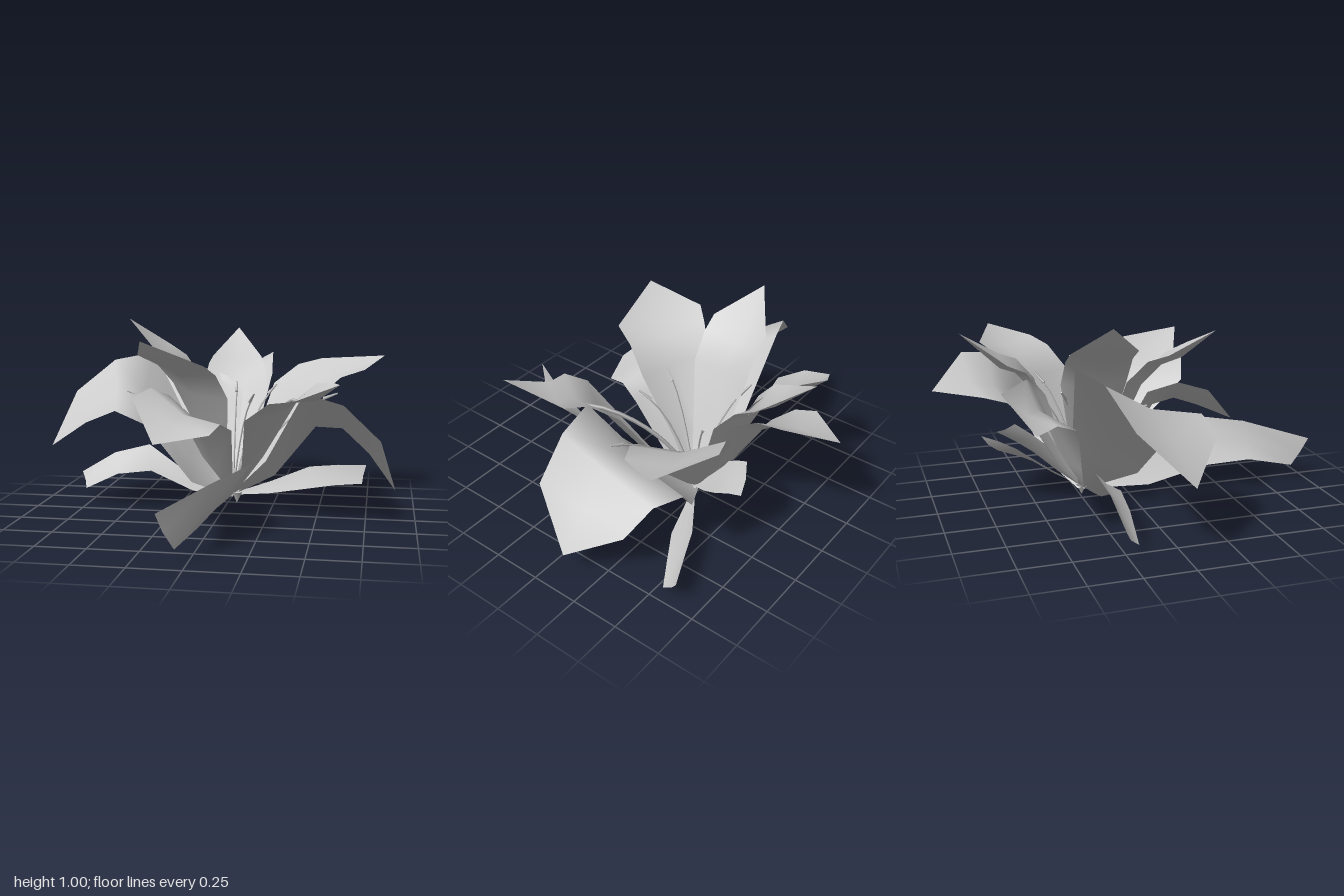
import * as THREE from 'three';

const BASE = new THREE.Vector3(0.03, 0.05, -0.24);
const material = new THREE.MeshStandardMaterial({ color: 0xcccccc, side: THREE.DoubleSide });
const V = (p) => new THREE.Vector3(...p);

// Stations along a blade.
const STATIONS = [0, 0.27, 0.55, 0.78, 1];

// A leaf surface: its spine leaves the base, bows and ends at the shoulder.
// midSpan and span run from the spine to one edge, halfway and at the shoulder;
// low is the share of midSpan reached near the base; a tip closes the end to a point.
function blade({ name, shoulder, span, midSpan = span, tip, bow = [0, 0.7, 0], low = 0.55, keel = 0.045 }) {
  const end = V(shoulder), mid = V(midSpan);
  const spine = STATIONS.map((t) => BASE.clone().lerp(end, t)
    .addScaledVector(V(bow), t * (1 - t) * Math.min(1, 2 * t) ** 2));
  const halves = [
    mid.clone().multiplyScalar(0.08), mid.clone().multiplyScalar(low), mid,
    mid.clone().lerp(V(span), 0.5), V(span),
  ];
  const pos = [], index = [];
  spine.forEach((c, i) => {
    const half = halves[i];
    const along = spine[Math.min(i + 1, 4)].clone().sub(spine[Math.max(i - 1, 0)]);
    const under = half.clone().cross(along).normalize();
    if (under.y > 0) under.negate(); // the keel bulges towards the underside
    const ridge = c.clone().addScaledVector(under, keel * Math.min(1, 2 * STATIONS[i]));
    pos.push(...c.clone().sub(half), ...ridge, ...c.clone().add(half));
    if (i < 4) for (const a of [i * 3, i * 3 + 1]) index.push(a, a + 1, a + 4, a, a + 4, a + 3);
  });
  if (tip) {
    pos.push(...tip);
    index.push(12, 13, 15, 13, 14, 15);
  }
  const g = new THREE.BufferGeometry();
  g.setAttribute('position', new THREE.Float32BufferAttribute(pos, 3));
  g.setIndex(index);
  g.computeVertexNormals();
  const mesh = new THREE.Mesh(g, material);
  mesh.name = name;
  return mesh;
}

const PETALS = [
  { name: 'backPetal', shoulder: [-0.015, 0.71, -0.8], span: [0.195, 0.07, -0.02], midSpan: [0.2, 0.095, 0], tip: [-0.05, 0.65, -1] },
  { name: 'backLeftPetal', shoulder: [0.6, 0.745, -0.515], span: [0.125, -0.015, 0.165], midSpan: [0.13, -0.02, 0.185], tip: [0.83, 0.79, -0.57] },
  { name: 'leftPetal', shoulder: [0.79, 0.35, -0.13], span: [0.03, 0.07, 0.23], midSpan: [-0.01, 0.13, 0.3], tip: [0.9, 0.13, -0.1], bow: [0, 1.25, 0] },
  { name: 'rightPetal', shoulder: [-0.745, 0.55, 0], span: [-0.095, 0.05, -0.23], midSpan: [-0.04, 0.16, -0.285], tip: [-0.9, 0.34, 0.03], bow: [0, 1.3, 0], low: 0.62 },
  { name: 'backRightPetal', shoulder: [-0.4, 0.63, -0.595], span: [0.23, 0.07, 0.025], midSpan: [0.28, 0.02, -0.04], tip: [-0.39, 0.7, -0.73] },
  { name: 'frontLeftPetal', shoulder: [0.5, 0.68, 0.265], span: [0.09, 0.03, -0.135], midSpan: [0.115, 0.035, -0.21], tip: [0.63, 0.745, 0.49], bow: [0, 0.75, 0.45], low: 0.4 },
  { name: 'frontRightPetal', shoulder: [-0.2, 0.555, 0.315], span: [0.2, -0.085, 0.035], midSpan: [0.17, -0.08, 0.05], tip: [-0.25, 0.44, 0.47], bow: [0, 0.85, 0], low: 0.5 },
  { name: 'innerBackPetal', shoulder: [-0.01, 0.77, -0.645], span: [0.14, 0, 0.005], midSpan: [0.18, 0, 0.01], tip: [-0.03, 0.92, -0.86] },
  { name: 'innerRightPetal', shoulder: [-0.35, 0.85, -0.225], span: [0.01, 0, -0.165], tip: [-0.54, 1, -0.24] },
  { name: 'innerFrontPetal', shoulder: [-0.225, 0.815, 0.19], span: [0.195, -0.015, 0.12], midSpan: [0.16, -0.03, 0.09], tip: [-0.34, 0.92, 0.34], low: 0.35 },
];

// Low leaves with blunt ends.
const SEPALS = [
  { name: 'frontSepal', shoulder: [-0.085, 0.155, 0.96], span: [0.035, -0.085, -0.03], midSpan: [-0.095, -0.12, 0.045], bow: [0.58, 0.45, 0] },
  { name: 'rightSepal', shoulder: [-0.81, 0.1, -0.235], span: [0.02, -0.04, 0.035], midSpan: [0.02, -0.06, 0.07], bow: [0, 0.65, 0] },
  { name: 'leftSepal', shoulder: [0.73, 0.105, -0.605], span: [-0.01, -0.045, 0.045], midSpan: [-0.01, -0.05, 0.07], bow: [0, 0.12, 0] },
  { name: 'backLeaf', shoulder: [0.15, 0.37, -0.615], span: [0.075, -0.04, -0.035], midSpan: [0.08, -0.04, -0.02], bow: [0, 0.12, 0] },
];

export function createModel() {
  const flower = new THREE.Group();
  flower.name = 'flower';
  PETALS.forEach((p) => flower.add(blade(p)));
  SEPALS.forEach((s) => flower.add(blade({ ...s, keel: 0.012 })));

  // stamens: a ring of thin arching filaments, each with a slim anther
  for (let i = 0; i < 7; i++) {
    const angle = 0.15 + (i * Math.PI * 2) / 7;
    const reach = i === 0 || i === 3 ? 0.53 : 0.26;
    const tip = BASE.clone().add(V([reach * Math.cos(angle), 0.56, reach * Math.sin(angle)]));
    const bend = BASE.clone().lerp(tip, 0.4).setY(0.48);
    const curve = new THREE.QuadraticBezierCurve3(BASE, bend, tip);
    const stamen = new THREE.Group();
    stamen.name = 'stamen';
    const filament = new THREE.Mesh(new THREE.TubeGeometry(curve, 6, 0.005, 3), material);
    filament.name = 'filament';
    const anther = new THREE.Mesh(new THREE.CylinderGeometry(0.004, 0.009, 0.08, 4), material);
    anther.name = 'anther';
    anther.position.copy(tip);
    anther.quaternion.setFromUnitVectors(new THREE.Vector3(0, 1, 0), curve.getTangent(1));
    stamen.add(filament, anther);
    flower.add(stamen);
  }

  // pistil: a longer curved stalk leaning forward
  const style = new THREE.CubicBezierCurve3(BASE, V([0.1, 0.4, -0.17]), V([0.38, 0.66, 0]), V([0.41, 0.62, 0.15]));
  const pistil = new THREE.Mesh(new THREE.TubeGeometry(style, 10, 0.011, 4), material);
  pistil.name = 'pistil';
  flower.add(pistil);

  // pointed stub under the petals
  const stub = new THREE.Mesh(new THREE.ConeGeometry(0.03, 0.06, 5), material);
  stub.name = 'stemStub';
  stub.rotation.x = Math.PI;
  stub.position.set(0.05, 0.03, -0.24);
  flower.add(stub);
  return flower;
}
